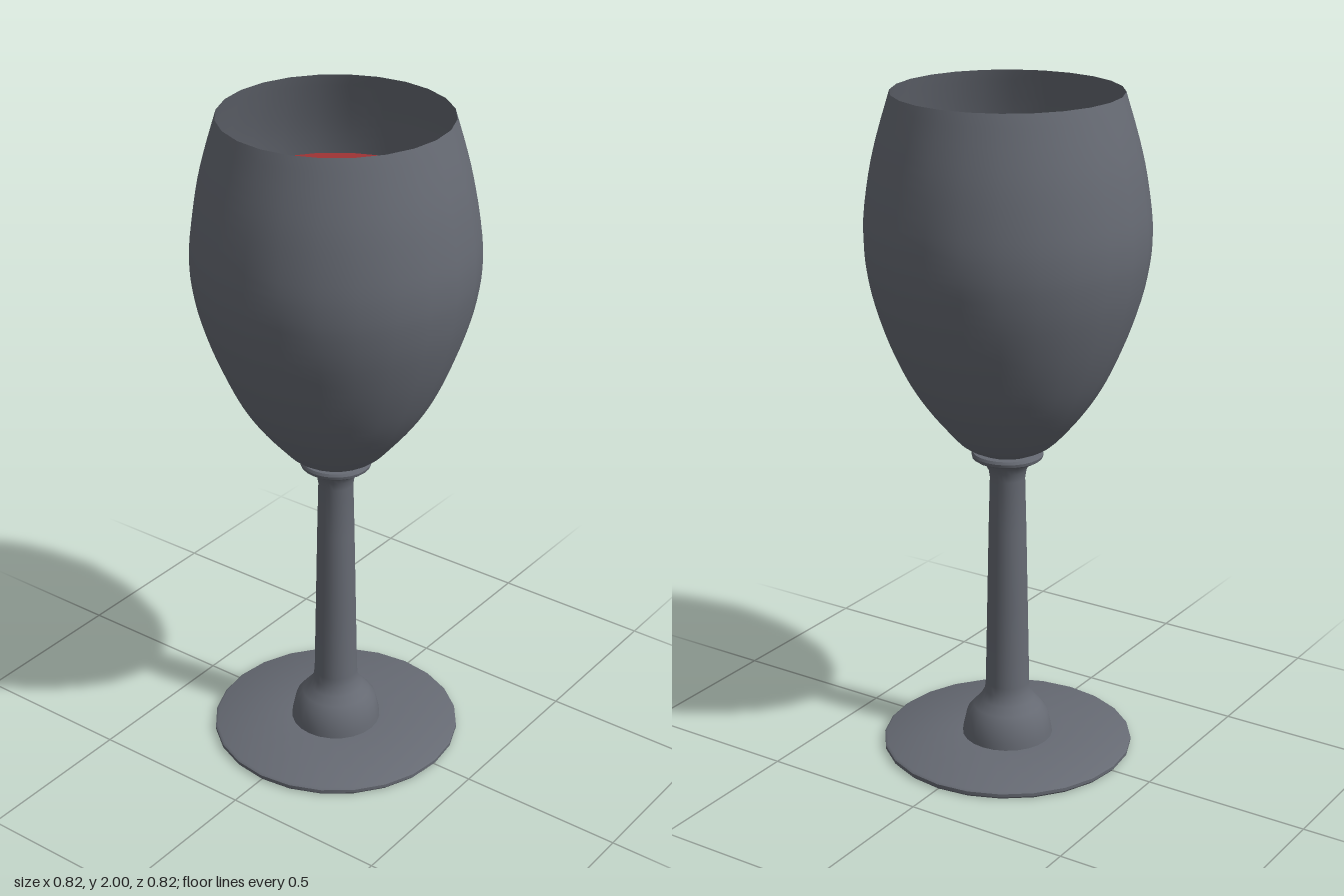
import * as THREE from 'three';
import { toCreasedNormals } from 'three/addons/utils/BufferGeometryUtils.js';

const SIDES = 24;

const vectors = (pairs) => pairs.map(([r, y]) => new THREE.Vector2(r, y));

// Turned part from a profile of [radius, height]; sharp profile corners stay crisp
function turned(name, points, material) {
  const geometry = toCreasedNormals(new THREE.LatheGeometry(points, SIDES), 0.65);
  const mesh = new THREE.Mesh(geometry, material);
  mesh.name = name;
  return mesh;
}

export function createModel() {
  const glass = new THREE.MeshStandardMaterial({ color: 0x666a73, side: THREE.DoubleSide });
  glass.name = 'smoky glass';
  const wine = new THREE.MeshStandardMaterial({ color: 0x9e3335, side: THREE.DoubleSide });
  wine.name = 'red wine';

  const goblet = new THREE.Group();
  goblet.name = 'wineGlass';

  // Flat round foot
  goblet.add(turned('foot', vectors([
    [0, 0], [0.372, 0], [0.377, 0.006], [0.377, 0.016], [0.37, 0.021], [0.136, 0.03], [0, 0.03],
  ]), glass));

  // Stem with flared pedestal at the bottom and a small flare under the collar
  goblet.add(turned('stem', vectors([
    [0.137, 0.028], [0.134, 0.05], [0.123, 0.1], [0.103, 0.124], [0.082, 0.148], [0.069, 0.172],
    [0.066, 0.2], [0.061, 0.45], [0.056, 0.7], [0.052, 0.86], [0.056, 0.885], [0.066, 0.905],
    [0.08, 0.92],
  ]), glass));

  // Collar ring between stem and bowl
  goblet.add(turned('collar', vectors([
    [0.05, 0.92], [0.095, 0.92], [0.104, 0.926], [0.106, 0.935], [0.102, 0.943], [0.05, 0.947],
  ]), glass));

  // Thin open bowl
  const bowlCurve = new THREE.SplineCurve(vectors([
    [0.085, 0.945], [0.13, 0.968], [0.168, 1.005], [0.222, 1.07], [0.27, 1.14], [0.31, 1.215],
    [0.35, 1.31], [0.385, 1.42], [0.403, 1.51], [0.409, 1.58], [0.406, 1.66], [0.388, 1.78],
    [0.364, 1.88], [0.328, 2],
  ]));
  goblet.add(turned('bowl', [new THREE.Vector2(0, 0.94), ...bowlCurve.getPoints(36)], glass));

  // Wine surface with faint rings
  const ripple = [];
  for (let i = 0; i <= 28; i++) {
    const r = 0.393 * (1 - i / 28);
    ripple.push(new THREE.Vector2(r, 1.74 + 0.003 * Math.cos(r * 30) * Math.exp(-r * 6)));
  }
  goblet.add(turned('wine', ripple, wine));

  return goblet;
}
